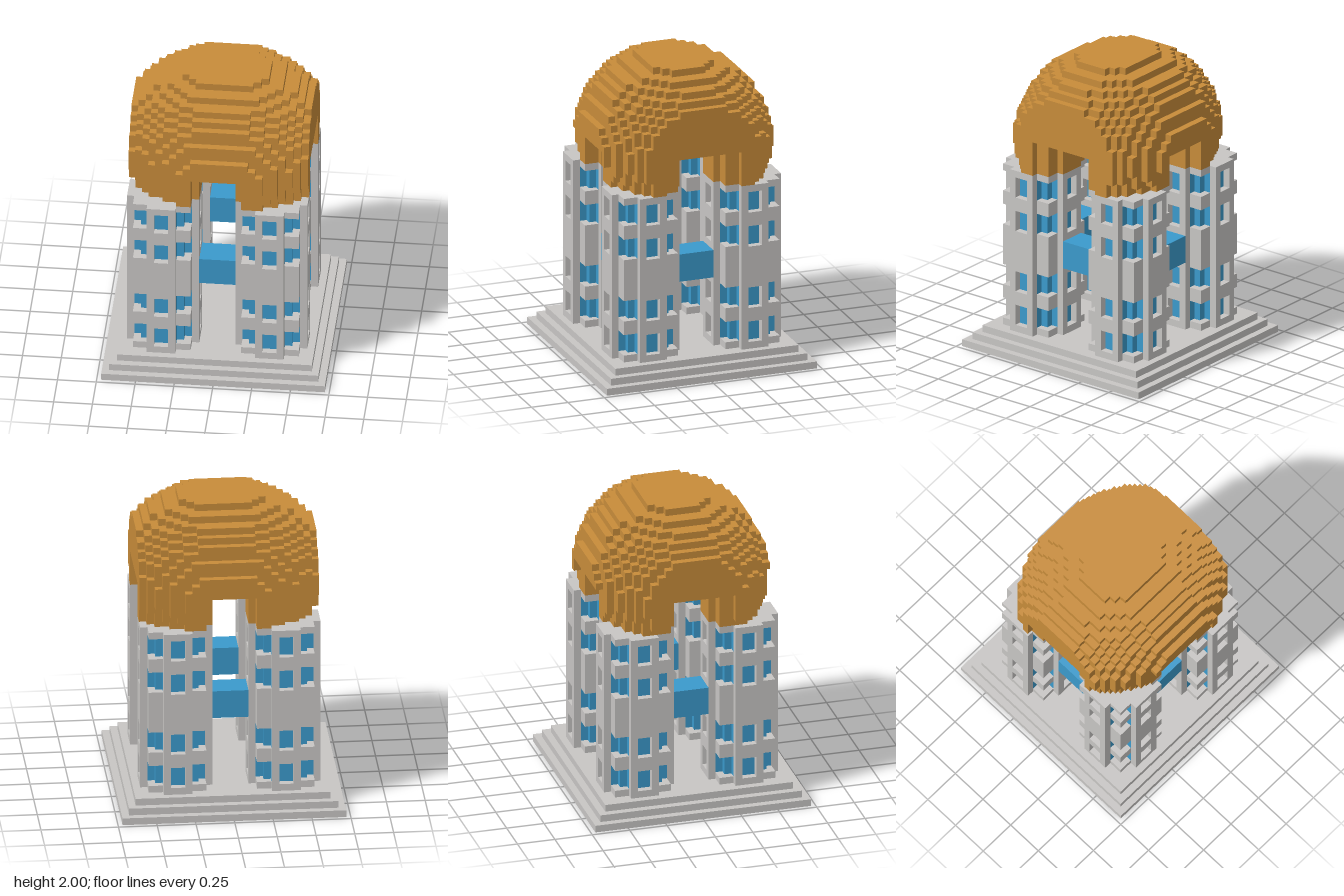
import * as THREE from 'three';
import { mergeGeometries } from 'three/addons/utils/BufferGeometryUtils.js';

const V = 2 / 43; // size of one block

const flat = (name, color) => {
  const m = new THREE.MeshStandardMaterial({ color });
  m.name = name;
  return m;
};

// axis-aligned box given by its block coordinates
function block(x0, x1, y0, y1, z0, z1) {
  const g = new THREE.BoxGeometry((x1 - x0) * V, (y1 - y0) * V, (z1 - z0) * V);
  return g.translate((x0 + x1) * V / 2, (y0 + y1) * V / 2, (z0 + z1) * V / 2);
}

// one layer of blocks wherever inside(x, z) holds, joined into runs along x
function layer(list, half, y0, y1, inside) {
  for (let z = -half + 0.5; z < half; z++) {
    let start = null;
    for (let x = -half + 0.5; x <= half + 0.5; x++) {
      const on = x < half && inside(x, z);
      if (on && start === null) start = x - 0.5;
      if (!on && start !== null) {
        list.push(block(start, x - 0.5, y0, y1, z - 0.5, z + 0.5));
        start = null;
      }
    }
  }
}

// tower floor plans, measured from the tower centre
const plan = (test) => (x, z) => {
  const a = Math.abs(x), b = Math.abs(z);
  return test(Math.max(a, b), Math.min(a, b));
};
const wallPlan = plan((M, m) => M < 4 || (M < 5 && m < 2));
const glassPlan = plan((M, m) => M < 3 || (M < 4 && m < 2));
const pillarPlan = plan((M, m) => M > 4 && M < 5 && m > 1 && m < 2);

export function createModel() {
  const stone = flat('stone grey', 0xc8c6c4);
  const glass = flat('glass blue', 0x3b9acc);
  const gold = flat('dome orange', 0xc88c3a);
  const model = new THREE.Group();
  model.name = 'domedTowers';
  const add = (parent, name, geo, mat) => {
    const m = new THREE.Mesh(geo, mat);
    m.name = name;
    parent.add(m);
    return m;
  };

  // stepped base
  [15.5, 14.5, 13.5].forEach((h, i) =>
    add(model, 'baseStep' + (i + 1), block(-h, h, i, i + 1, -h, h), stone));

  // tower parts: solid wall bands, pillars and recessed glass
  const walls = [], panes = [];
  for (const [a, b] of [[3, 4], [7, 9], [12, 18], [21, 23], [26, 27]]) layer(walls, 5, a, b, wallPlan);
  for (const y of [4, 9, 18, 23]) {
    layer(walls, 5, y, y + 3, pillarPlan);
    layer(panes, 5, y, y + 3, glassPlan);
  }
  const wallGeo = mergeGeometries(walls), paneGeo = mergeGeometries(panes);
  for (const sx of [-1, 1]) for (const sz of [-1, 1]) {
    const tower = new THREE.Group();
    tower.name = (sz > 0 ? 'front' : 'back') + (sx > 0 ? 'Left' : 'Right') + 'Tower';
    tower.position.set(sx * 7.5 * V, 0, sz * 7.5 * V);
    add(tower, 'walls', wallGeo, stone);
    add(tower, 'windows', paneGeo, glass);
    model.add(tower);
  }

  // glass bridges between neighbouring towers
  ['frontBridge', 'leftBridge', 'backBridge', 'rightBridge'].forEach((name, i) => {
    add(model, name, block(-2.5, 2.5, 13, 17, 5.5, 9.5), glass).rotation.y = i * Math.PI / 2;
  });

  // block dome; its lowest five layers stand only on the towers
  const dome = [];
  for (let y = 27; y < 43; y++) {
    const h = ((y - 31) / 12) ** 2;
    layer(dome, 12.5, y, y + 1, (x, z) => {
      const round = ((x - 0.5) / 15) ** 2 + (z / 13) ** 2 + h < 1 && (z / 12.5) ** 2 + h < 1;
      return round && (y >= 32 || wallPlan(Math.abs(x) - 7.5, Math.abs(z) - 7.5));
    });
  }
  add(model, 'dome', mergeGeometries(dome), gold);
  return model;
}
